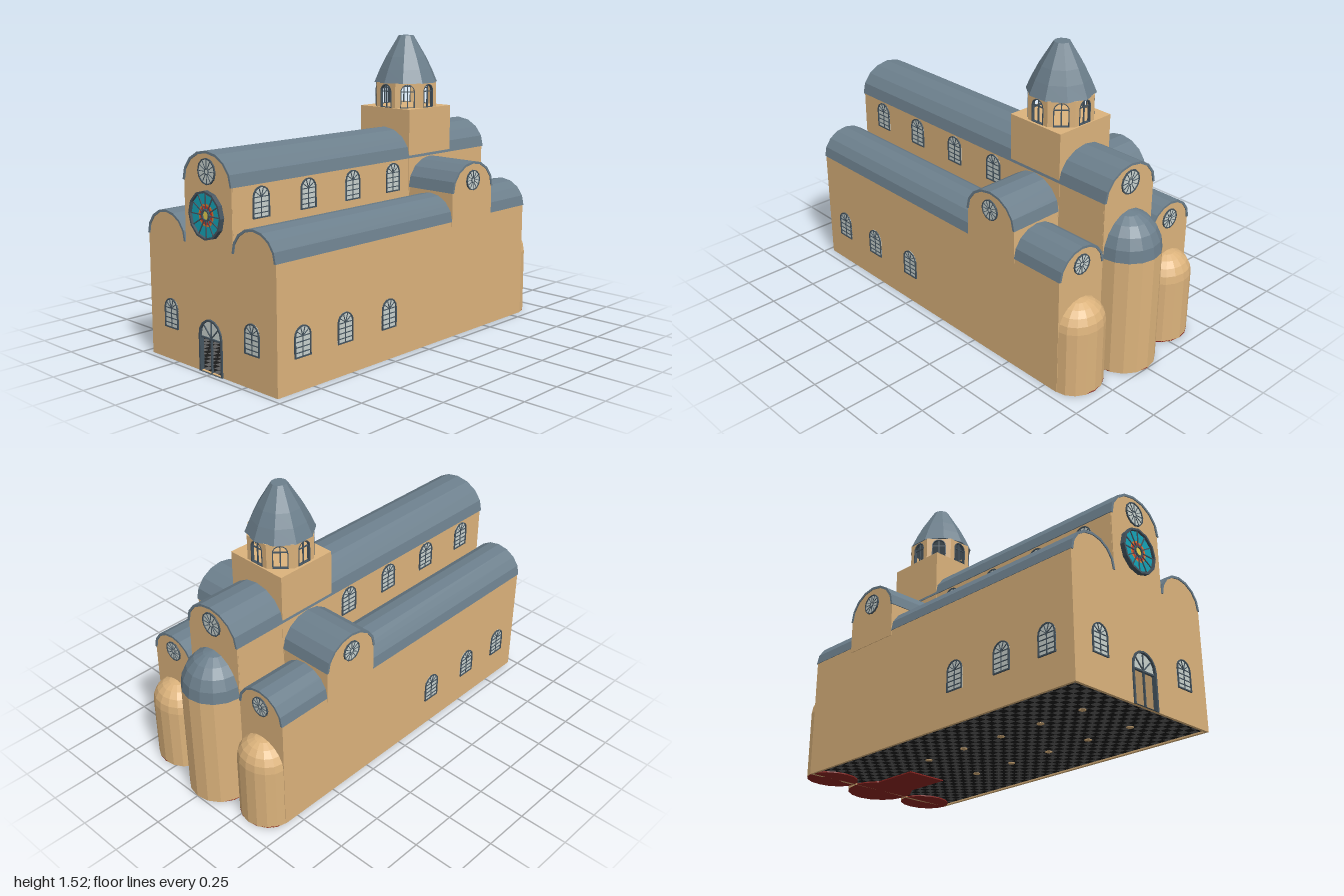
import * as THREE from 'three';
import { mergeGeometries } from 'three/addons/utils/BufferGeometryUtils.js';

const mat = (color) => new THREE.MeshStandardMaterial({ color, flatShading: true, side: THREE.DoubleSide });
const M = {
  wall: mat(0xdcb37c), roof: mat(0x6c7f8c), frame: mat(0x465560), glass: mat(0xc9d2ce),
  red: mat(0xc8362a), darkRed: mat(0x8a2420), teal: mat(0x14a4b8), orange: mat(0xe07a30),
  yellow: mat(0xe8cf50), black: mat(0x1c1c1c), grey: mat(0x5c5c5c),
};

const mesh = (name, geo, m) => {
  const o = new THREE.Mesh(geo, m);
  o.name = name;
  return o;
};
const merge = (list) => mergeGeometries(list.map((g) => (g.index ? g.toNonIndexed() : g)));
const box = (w, h, d, x, y, z) => new THREE.BoxGeometry(w, h, d).translate(x, y, z);
const extrude = (shape, depth) => new THREE.ExtrudeGeometry(shape, { depth, bevelEnabled: false });

// Points on an elliptical arc from angle 0 to sweep
const arc = (cx, cy, rx, ry, n = 8, sweep = Math.PI) =>
  Array.from({ length: n + 1 }, (_, i) => {
    const a = (sweep * i) / n;
    return new THREE.Vector2(cx + rx * Math.cos(a), cy + ry * Math.sin(a));
  });
const V = (x, y) => new THREE.Vector2(x, y);

// Arched outline standing on y = 0
const archPts = (w, h, n = 8) => [V(-w / 2, 0), V(w / 2, 0), ...arc(0, h - w / 2, w / 2, w / 2, n)];
const circlePts = (r, n = 12) => arc(0, 0, r, r, n, Math.PI * 2).slice(0, n);

const ring = (outer, inner, depth) => {
  const s = new THREE.Shape(outer);
  s.holes.push(new THREE.Path(inner));
  return extrude(s, depth);
};

// Bar running outward from (0, y) at an angle
const spoke = (r0, r1, a, y, t, d, z) =>
  new THREE.BoxGeometry(r1 - r0, t, d).translate((r0 + r1) / 2, 0, 0).rotateZ(a).translate(0, y, z);

// Arched window facing +z, foot at the origin
function archWindow(w = 0.1, h = 0.148) {
  const g = new THREE.Group();
  g.name = 'archedWindow';
  const r = w / 2, s = h - r, t = 0.006;
  const inner = archPts(w - 2 * t, h - 2 * t).map((p) => V(p.x, p.y + t));
  const parts = [ring(archPts(w, h), inner, 0.008)];
  for (let i = 1; i <= 4; i++) parts.push(box(w - t, 0.004, 0.005, 0, (s * i) / 4, 0.004));
  parts.push(box(0.004, s, 0.005, 0, s / 2, 0.004));
  for (let i = 1; i < 5; i++) parts.push(spoke(0, r - t, (Math.PI * i) / 5, s, 0.003, 0.005, 0.004));
  g.add(mesh('windowBars', merge(parts), M.frame));
  g.add(mesh('windowGlass', extrude(new THREE.Shape(archPts(w, h)), 0.003), M.glass));
  return g;
}

// Round window facing +z with radial bars
function roundWindow(r, depth = 0.008, glass = M.glass) {
  const g = new THREE.Group();
  g.name = 'roundWindow';
  const parts = [ring(circlePts(r), circlePts(r * 0.91), depth), ring(circlePts(r * 0.25), circlePts(r * 0.18), depth * 0.8)];
  for (let i = 0; i < 12; i++) parts.push(spoke(r * 0.2, r * 0.95, (i * Math.PI) / 6, 0, r * 0.045, 0.004, depth * 0.6));
  g.add(mesh('roundBars', merge(parts), M.frame));
  g.add(mesh('roundGlass', extrude(new THREE.Shape(circlePts(r * 0.97)), depth * 0.5), glass));
  return g;
}

// Thin curved roof running along +z
const vault = (rx, ry, len) =>
  extrude(new THREE.Shape([...arc(0, 0, rx, ry), ...arc(0, 0, rx - 0.012, ry - 0.012).reverse()]), len);

// End wall with the stepped, three-arched outline
function endWall(door) {
  const s = new THREE.Shape([V(-0.455, 0), V(0.455, 0), ...arc(0.312, 0.605, 0.143, 0.128), V(0.168, 0.9),
    ...arc(0, 0.9, 0.168, 0.145), V(-0.168, 0.605), ...arc(-0.312, 0.605, 0.143, 0.128)]);
  if (door) s.holes.push(new THREE.Path(archPts(0.16, 0.26).map((p) => V(p.x, p.y + 0.004))));
  return extrude(s, 0.015);
}

// Half-round apse with a quarter-sphere cap, bulging to -z
function apse(name, r, depth, h, capH, capMat) {
  const g = new THREE.Group();
  g.name = name;
  const n = 8;
  g.add(mesh('apseWall', new THREE.CylinderGeometry(r, r, h, n, 1, true, Math.PI / 2, Math.PI).scale(1, 1, depth / r).translate(0, h / 2, 0), M.wall));
  g.add(mesh('apseCap', new THREE.SphereGeometry(r, n, 5, Math.PI, Math.PI, 0, Math.PI / 2).scale(1, capH / r, depth / r).translate(0, h, 0), capMat));
  g.add(mesh('apseFloor', new THREE.CylinderGeometry(r, r, 0.006, 16).scale(1, 1, depth / r).translate(0, 0.003, 0), M.darkRed));
  return g;
}

export function createModel() {
  const root = new THREE.Group();
  root.name = 'church';
  const add = (o, x = 0, y = 0, z = 0, ry = 0) => {
    o.position.set(x, y, z);
    o.rotation.y = ry;
    root.add(o);
    return o;
  };

  // Checkered floor
  const tiles = [[], []], nx = 24, nz = 48, tw = 0.9 / nx, tl = 1.79 / nz;
  for (let i = 0; i < nx; i++) for (let j = 0; j < nz; j++)
    tiles[(i + j) % 2].push(new THREE.PlaneGeometry(tw, tl).rotateX(-Math.PI / 2)
      .translate(-0.45 + (i + 0.5) * tw, 0.008, -0.825 + (j + 0.5) * tl));
  add(mesh('darkTiles', merge(tiles[0]), M.black));
  add(mesh('lightTiles', merge(tiles[1]), M.grey));

  // Chancel carpet and steps
  add(mesh('chancelFloor', box(0.22, 0.006, 0.4, 0, 0.003, -0.65), M.darkRed));
  const steps = [];
  for (let i = 0; i < 5; i++) steps.push(box(0.3, 0.018, 0.34 - i * 0.04, 0, 0.019 + i * 0.018, -0.65 - i * 0.02));
  add(mesh('chancelSteps', merge(steps), M.red));

  // End walls
  add(mesh('frontWall', endWall(true), M.wall), 0, 0, 0.955);
  add(mesh('backWall', endWall(false), M.wall), 0, 0, -0.83);

  // Nave roof
  add(mesh('naveRoof', vault(0.174, 0.15, 1.81), M.roof), 0, 0.9, -0.835);

  for (const s of [-1, 1]) {
    // Aisle and clerestory walls, aisle roof
    add(mesh('aisleWall', box(0.014, 0.605, 1.79, s * 0.448, 0.3025, 0.07), M.wall));
    add(mesh('clerestoryWall', box(0.014, 0.32, 1.79, s * 0.162, 0.75, 0.07), M.wall));
    add(mesh('aisleRoof', vault(0.146, 0.133, 1.81), M.roof), s * 0.312, 0.605, -0.835);
    // Interior columns
    for (let i = 0; i < 5; i++)
      add(mesh('column', new THREE.CylinderGeometry(0.018, 0.018, 0.6, 8), M.wall), s * 0.162, 0.305, 0.75 - i * 0.25);
    // Windows along the sides
    const ry = (s * Math.PI) / 2;
    for (const z of [0.82, 0.55, 0.25]) add(archWindow(), s * 0.454, 0.157, z, ry);
    for (const z of [0.8, 0.505, 0.205, -0.09]) add(archWindow(), s * 0.168, 0.742, z, ry);
    // Windows of the ends and transept
    add(archWindow(), s * 0.292, 0.16, 0.969);
    add(roundWindow(0.053), s * 0.458, 0.8, -0.38, ry);
    add(roundWindow(0.052), s * 0.312, 0.645, -0.829, Math.PI);
    add(apse('sideApse', 0.138, 0.118, 0.34, 0.125, M.wall), s * 0.315, 0, -0.828);
  }
  add(apse('mainApse', 0.168, 0.172, 0.615, 0.195, M.roof), 0, 0, -0.828);
  add(roundWindow(0.062), 0, 0.955, -0.829, Math.PI);
  add(roundWindow(0.062), 0, 0.955, 0.969);

  // Rose window
  const rose = add(roundWindow(0.115, 0.025, M.teal), 0, 0.755, 0.968);
  rose.name = 'roseWindow';
  [[0.055, M.orange], [0.045, M.red], [0.032, M.teal], [0.02, M.yellow]].forEach(([r, m], i) =>
    rose.add(mesh('rosePetals', extrude(new THREE.Shape(circlePts(r)), 0.0128 + i * 0.0004), m)));

  // Doorway with glazed fanlight
  const door = new THREE.Group();
  door.name = 'doorway';
  const bars = [ring(archPts(0.166, 0.262), archPts(0.146, 0.252).map((p) => V(p.x, p.y + 0.001)), 0.022),
    box(0.15, 0.008, 0.012, 0, 0.168, 0.011), box(0.006, 0.165, 0.01, 0, 0.0825, 0.011)];
  for (let i = 1; i < 4; i++) bars.push(spoke(0, 0.078, (i * Math.PI) / 4, 0.172, 0.005, 0.008, 0.011));
  door.add(mesh('doorFrame', merge(bars), M.frame));
  door.add(mesh('fanlight', extrude(new THREE.Shape(arc(0, 0.17, 0.078, 0.086)), 0.004).translate(0, 0, 0.006), M.glass));
  add(door, 0, 0, 0.955);

  // Transept
  const gable = new THREE.Shape([V(-0.16, 0.58), V(0.16, 0.58), ...arc(0, 0.75, 0.16, 0.14)]);
  add(mesh('transept', extrude(gable, 0.916).translate(0, 0, -0.458), M.wall), 0, 0, -0.38, Math.PI / 2);
  add(mesh('transeptRoof', vault(0.165, 0.147, 0.924).translate(0, 0, -0.462), M.roof), 0, 0.75, -0.38, Math.PI / 2);

  // Crossing tower
  add(mesh('tower', box(0.342, 0.43, 0.33, 0, 0.935, -0.38), M.wall));

  // Octagonal lantern with open arched windows
  const apo = 0.156, side = 2 * apo * Math.tan(Math.PI / 8);
  for (let i = 0; i < 8; i++) {
    const face = new THREE.Group();
    face.name = 'lanternSide';
    const panel = ring([V(-side / 2, 0), V(side / 2, 0), V(side / 2, 0.132), V(-side / 2, 0.132)],
      archPts(0.074, 0.122).map((p) => V(p.x, p.y + 0.004)), 0.014);
    face.add(mesh('lanternWall', panel.translate(0, 0, apo - 0.014), M.wall));
    const rim = ring(archPts(0.076, 0.123), archPts(0.066, 0.115).map((p) => V(p.x, p.y + 0.004)), 0.016);
    face.add(mesh('lanternBars', merge([rim.translate(0, 0.003, apo - 0.014),
      box(0.006, 0.12, 0.006, 0, 0.064, apo - 0.007), box(0.07, 0.005, 0.006, 0, 0.088, apo - 0.007)]), M.frame));
    add(face, 0, 1.146, -0.38, (i * Math.PI) / 4);
  }

  // Faceted lantern roof
  const profile = [V(0, 1.276), V(0.17, 1.276), V(0.14, 1.345), V(0.107, 1.41), V(0.04, 1.52), V(0, 1.52)];
  add(mesh('lanternRoof', new THREE.LatheGeometry(profile, 10), M.roof), 0, 0, -0.38);

  return root;
}
